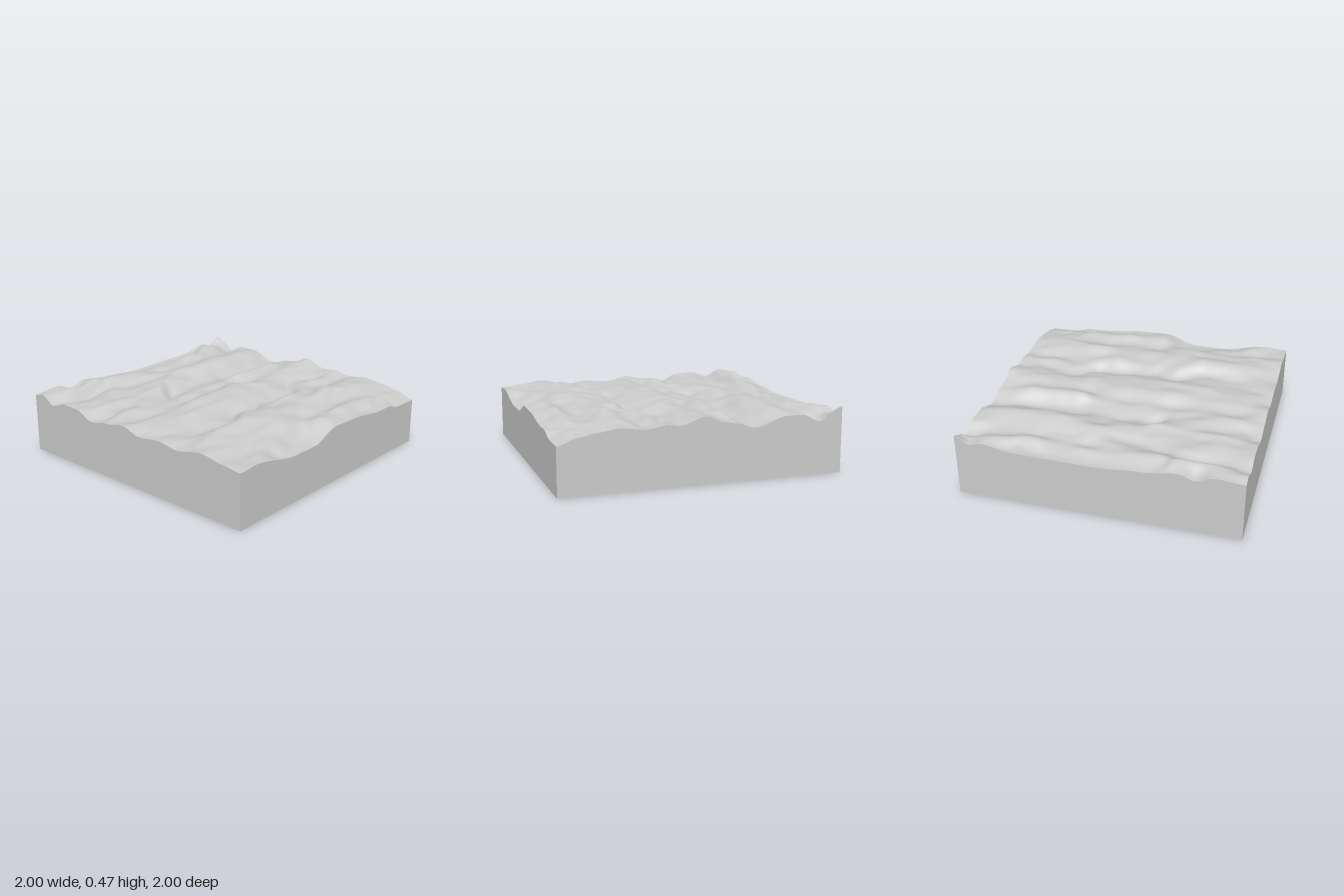
import * as THREE from 'three';

const N = 150; // grid cells per side
const { smoothstep, lerp, clamp } = THREE.MathUtils;

// smooth interpolation through [position, height] pairs
function profile(points) {
  return t => {
    let i = 0;
    while (i < points.length - 2 && t > points[i + 1][0]) i++;
    const [a, b] = [points[i], points[i + 1]];
    return lerp(a[1], b[1], smoothstep(t, a[0], b[0]));
  };
}

// heights along the four cut edges
const edge = {
  front: profile([[-1, .39], [-.85, .4], [-.45, .335], [-.25, .335], [0, .41], [.2, .405], [.55, .37], [.65, .37], [.8, .337], [1, .335]]),
  back: profile([[-1, .435], [-.8, .45], [-.67, .405], [-.56, .44], [-.3, .41], [0, .39], [.4, .395], [.6, .4], [.8, .435], [.9, .41], [1, .465]]),
  right: profile([[-1, .465], [-.92, .43], [-.83, .37], [-.7, .425], [-.58, .425], [-.35, .36], [-.2, .4], [-.12, .415], [0, .46], [.18, .41], [.28, .42], [.4, .4], [.6, .42], [.75, .4], [.85, .38], [1, .335]]),
  left: profile([[-1, .435], [-.92, .45], [-.8, .395], [-.66, .435], [-.53, .43], [-.38, .375], [-.2, .405], [-.05, .43], [.1, .39], [.3, .41], [.45, .39], [.68, .43], [.85, .405], [1, .39]])
};

// mean swell from back to front
const swell = profile([[-1, .42], [-.88, .435], [-.78, .4], [-.62, .435], [-.5, .42], [-.36, .39], [-.22, .425], [-.12, .405], [0, .425], [.12, .425], [.3, .4], [.57, .435], [.8, .405], [1, .385]]);

// steep wave faces: path of [x, z], height (positive rises to the front), width
const faces = [
  { path: [[-.45, -.76], [-.2, -.72], [0, -.71]], a: -.03, w: .06 },
  { path: [[-.6, -.27], [-.35, -.32], [-.15, -.46], [.15, -.52]], a: -.032, w: .07 },
  { path: [[.25, -.46], [.6, -.46], [1, -.47]], a: -.026, w: .07 },
  { path: [[.3, -.23], [.5, -.22], [.8, -.24]], a: .028, w: .06 },
  { path: [[-.5, -.05], [-.1, -.15], [.15, -.14], [.35, 0]], a: .02, w: .08 },
  { path: [[-.7, .43], [-.45, .45], [-.2, .34]], a: .026, w: .06 },
  { path: [[-.15, .42], [0, .35], [.3, .36], [.6, .21], [.8, .28]], a: .025, w: .06 },
  { path: [[.3, .53], [.55, .48], [.9, .46]], a: .014, w: .06 },
  { path: [[-.75, .98], [-.5, .84], [-.1, .78]], a: -.02, w: .08 },
  { path: [[-1, .78], [-.85, .79], [-.7, .75]], a: -.015, w: .05 },
  { path: [[.18, .87], [.3, .88], [.45, .87]], a: -.02, w: .05 },
  { path: [[.65, .92], [.75, .88], [.85, .85]], a: .018, w: .06 },
  { path: [[-.7, -.8], [-.55, -.84], [-.4, -.95]], a: -.014, w: .06 },
  { path: [[.4, -.9], [.55, -.86], [.7, -.93]], a: .018, w: .05 }
].map(f => ({ ...f, z: profile(f.path), x0: f.path[0][0], x1: f.path[f.path.length - 1][0] }));

// small seeded value noise
function hash(i, j) {
  const s = Math.sin(i * 127.1 + j * 311.7 + 19.3) * 43758.5453;
  return (s - Math.floor(s)) * 2 - 1;
}
function noise(x, z) {
  const i = Math.floor(x), j = Math.floor(z);
  const u = smoothstep(x - i, 0, 1), v = smoothstep(z - j, 0, 1);
  return lerp(lerp(hash(i, j), hash(i + 1, j), u), lerp(hash(i, j + 1), hash(i + 1, j + 1), u), v);
}

function openWater(x, z) {
  let h = swell(z + .04 * noise(x * 2.5 + 9, z * 2));
  for (const f of faces) {
    const d = (z - f.z(clamp(x, f.x0, f.x1))) / f.w;
    const fade = smoothstep(x, f.x0 - .12, f.x0 + .08) * (1 - smoothstep(x, f.x1 - .08, f.x1 + .12));
    h += f.a * .7 * d * Math.exp(.5 - d * d / 2) * fade;
  }
  h += .018 * noise(x * 4, z * 7 + 3) + .007 * noise(x * 8 + 5, z * 13);
  return h + .018 * Math.exp(-(x * x + z * z) / .03); // round central hump
}

// ease the open water into the cut edges
const near = d => Math.exp(-((d / .13) ** 2));
function sidesFitted(x, z) {
  return openWater(x, z)
    + (edge.right(z) - openWater(1, z)) * near(1 - x)
    + (edge.left(z) - openWater(-1, z)) * near(1 + x);
}
function height(x, z) {
  const h = sidesFitted(x, z)
    + (edge.front(x) - sidesFitted(x, 1)) * near(1 - z)
    + (edge.back(x) - sidesFitted(x, -1)) * near(1 + z);
  return clamp(h, .33, .47);
}

export function createModel() {
  const group = new THREE.Group();
  group.name = 'waterBlock';
  const material = new THREE.MeshStandardMaterial({ color: 0xcccccc });
  const add = (geometry, name) => {
    const mesh = new THREE.Mesh(geometry, material);
    mesh.name = name;
    group.add(mesh);
    return mesh;
  };

  // rippled top
  const top = new THREE.PlaneGeometry(2, 2, N, N).rotateX(-Math.PI / 2);
  const p = top.attributes.position;
  for (let i = 0; i < p.count; i++) p.setY(i, height(p.getX(i), p.getZ(i)));
  top.computeVertexNormals();
  add(top, 'waveSurface');

  // four upright walls whose upper edge follows the waves
  ['front', 'right', 'back', 'left'].forEach((side, k) => {
    const wall = new THREE.PlaneGeometry(2, 1, N, 1).translate(0, .5, 1).rotateY(k * Math.PI / 2);
    const w = wall.attributes.position;
    for (let i = 0; i < w.count; i++) {
      w.setY(i, w.getY(i) > .5 ? height(w.getX(i), w.getZ(i)) : 0);
    }
    add(wall, side + 'Wall');
  });

  // flat underside
  add(new THREE.PlaneGeometry(2, 2).rotateX(Math.PI / 2), 'base');
  return group;
}
